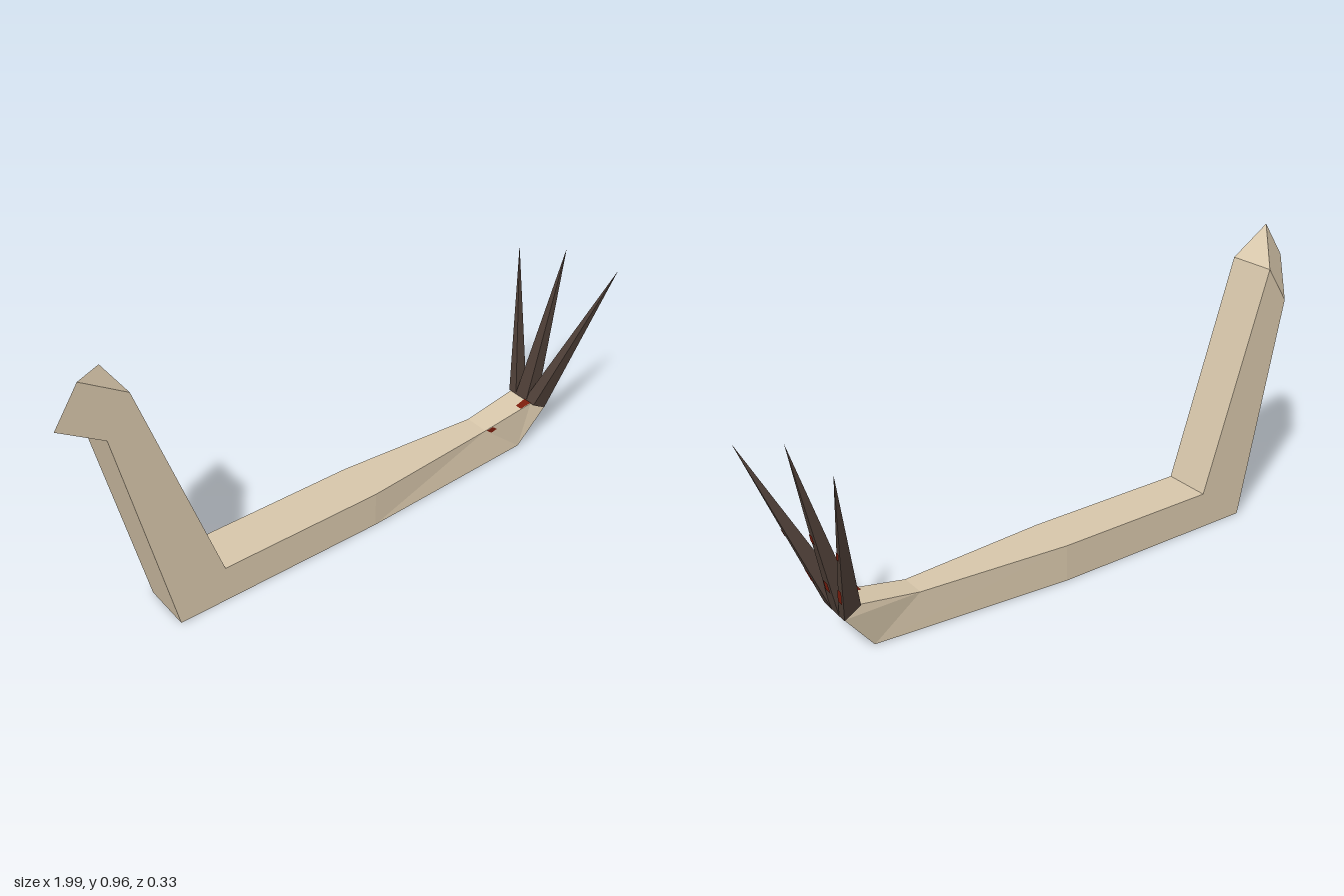
import * as THREE from 'three';

const tan = new THREE.MeshStandardMaterial({ color: 0xd9c8ac });
tan.name = 'pale skin';
const dark = new THREE.MeshStandardMaterial({ color: 0x4e3f37 });
dark.name = 'dark claw';
const red = new THREE.MeshStandardMaterial({ color: 0x7c1d0c });
red.name = 'dried red';
for (const m of [tan, dark, red]) m.flatShading = true;

const V = (x, y, z) => new THREE.Vector3(x, y, z);

// Flat-faced mesh from a list of triangles
function mesh(name, triangles, material) {
  const geometry = new THREE.BufferGeometry().setFromPoints(triangles.flat());
  geometry.computeVertexNormals();
  const m = new THREE.Mesh(geometry, material);
  m.name = name;
  return m;
}

const quad = (a, b, c, d) => [[a, b, c], [a, c, d]];

// Skin over four-cornered rings: top front, top back, bottom back, bottom front
function loft(name, rings, material) {
  const tris = [];
  for (let i = 0; i < rings.length - 1; i++) {
    const r = rings[i], s = rings[i + 1];
    for (let j = 0; j < 4; j++) {
      const k = (j + 1) % 4;
      tris.push(...quad(r[j], s[j], s[k], r[k]));
    }
  }
  const first = rings[0], last = rings[rings.length - 1];
  tris.push(...quad(first[0], first[1], first[2], first[3]));
  tris.push(...quad(last[0], last[3], last[2], last[1]));
  return mesh(name, tris, material);
}

// Ring from the top and bottom edge positions and their z limits
function ring([tx, ty], [bx, by], [tf, tb], [bf, bb] = [tf, tb]) {
  return [V(tx, ty, tf), V(tx, ty, tb), V(bx, by, bb), V(bx, by, bf)];
}

// Small red stain laid just above a triangle (a, b, tip)
function stain(a, b, tip, t0, t1, u0, u1) {
  const n = b.clone().sub(a).cross(tip.clone().sub(a)).normalize().multiplyScalar(0.003);
  const at = (u, t) => a.clone().lerp(b, u).lerp(tip, t).add(n);
  return mesh('stain', quad(at(u0, t0), at(u1, t0), at(u1, t1), at(u0, t1)), red);
}

export function createModel() {
  const group = new THREE.Group();
  group.name = 'clawedArm';
  const W = [0.083, -0.083];

  // Upper arm with slanted stump, elbow and tapering forearm
  const stump = ring([-0.92, 0.96], [-1, 0.84], W);
  const shoulder = ring([-0.78, 0.87], [-0.86, 0.75], W);
  stump[1] = shoulder[1];
  stump[2] = shoulder[2];
  const wrist = ring([0.55, 0.13], [0.705, 0.003], [0.045, -0.043], [0.055, -0.032]);
  group.add(loft('arm', [
    stump, shoulder,
    ring([-0.535, 0.127], [-0.7, 0], W),
    ring([0.04, 0.127], [0.04, 0], W),
    wrist,
  ], tan));

  // Hand
  const knuckles = ring([0.75, 0.165], [0.805, 0.135], [0.055, -0.045], [0.07, -0.05]);
  group.add(loft('hand', [wrist, knuckles], tan));

  // Three claws, each a four-sided spike
  const claws = [
    { tip: V(0.99, 0.66, 0.165), z: [0.07, 0.024], stains: [[0.16, 0.24, 0.3, 0.9], [0.45, 0.49, 0.2, 0.7]] },
    { tip: V(0.91, 0.7, 0.002), z: [0.033, -0.02], stains: [[0.14, 0.2, 0.3, 0.9], [0.43, 0.48, 0.1, 0.8]] },
    { tip: V(0.855, 0.66, -0.163), z: [-0.018, -0.052], stains: [[0.12, 0.21, 0.1, 0.9], [0.43, 0.48, 0.1, 0.9]] },
  ];
  for (const { tip, z, stains } of claws) {
    const base = ring([0.75, 0.165], [0.805, 0.133], z);
    const tris = quad(base[0], base[3], base[2], base[1]).map(([a, b, c]) => [a, c, b]);
    for (let j = 0; j < 4; j++) tris.push([base[(j + 1) % 4], base[j], tip]);
    // keep every side facing away from the spike's middle
    const mid = base.reduce((s, p) => s.add(p), tip.clone()).divideScalar(5);
    const outward = tris.map(([a, b, c]) => {
      const n = b.clone().sub(a).cross(c.clone().sub(a));
      return n.dot(a.clone().sub(mid)) < 0 ? [a, c, b] : [a, b, c];
    });
    group.add(mesh('claw', outward, dark));
    for (const s of stains) group.add(stain(base[3], base[2], tip, ...s));
  }

  // Stains on the hand: front side, top edge, end face
  group.add(stain(wrist[0], wrist[3], knuckles[0], 0.02, 0.15, 0, 0.14));
  group.add(stain(knuckles[0], knuckles[1], wrist[0], 0, 0.22, 0, 0.3));
  group.add(stain(wrist[3], wrist[2], knuckles[3], 0.02, 0.2, 0.02, 0.22));
  group.add(stain(knuckles[2], knuckles[3], wrist[2], 0.02, 0.2, 0.05, 0.32));
  return group;
}
